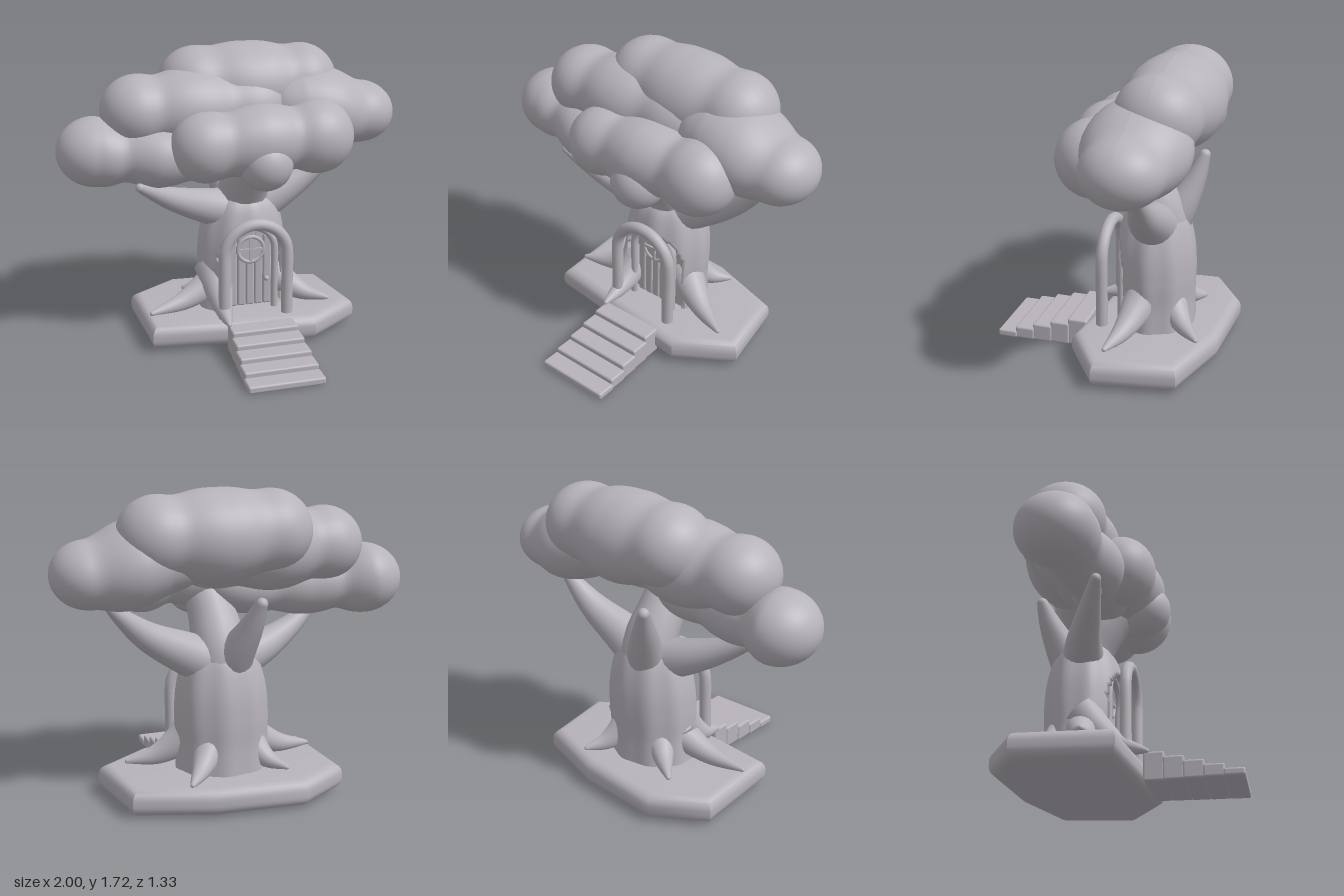
import * as THREE from 'three';
import { toCreasedNormals } from 'three/addons/utils/BufferGeometryUtils.js';
import { RoundedBoxGeometry } from 'three/addons/geometries/RoundedBoxGeometry.js';

const clay = new THREE.MeshStandardMaterial({ color: 0xb7b3ba });
clay.name = 'warm grey clay';
const v3 = (a) => new THREE.Vector3(...a);

export function createModel() {
  const root = new THREE.Group();
  root.name = 'treeHouse';

  const add = (name, geometry, x = 0, y = 0, z = 0) => {
    const mesh = new THREE.Mesh(geometry, clay);
    mesh.name = name;
    mesh.position.set(x, y, z);
    root.add(mesh);
    return mesh;
  };

  // Tube whose radius shrinks from r0 to r1, closed by a round tip
  const limb = (name, points, r0, r1, power = 1) => {
    const curve = new THREE.CatmullRomCurve3(points.map(v3));
    const n = 24, sides = 20;
    const geo = new THREE.TubeGeometry(curve, n, 1, sides);
    const pos = geo.attributes.position, p = new THREE.Vector3();
    for (let i = 0; i <= n; i++) {
      const c = curve.getPointAt(i / n);
      const r = r1 + (r0 - r1) * Math.pow(1 - i / n, power);
      for (let j = 0; j <= sides; j++) {
        const k = i * (sides + 1) + j;
        p.fromBufferAttribute(pos, k).sub(c).multiplyScalar(r).add(c);
        pos.setXYZ(k, p.x, p.y, p.z);
      }
    }
    add(name, geo);
    add(name + 'Tip', new THREE.SphereGeometry(r1, 12, 8), ...points[points.length - 1]);
  };

  // Lumpy leaf cloud: lobes [x, y, z, r, half length] in order of x, skinned with rings around the x axis
  const cloud = (name, lobes, sy = 1, sz = 1) => {
    const x0 = Math.min(...lobes.map(([x, , , r, h = r]) => x - h));
    const x1 = Math.max(...lobes.map(([x, , , r, h = r]) => x + h));
    const geo = new THREE.SphereGeometry(1, 40, 64).rotateZ(-Math.PI / 2);
    const pos = geo.attributes.position;
    for (let i = 0; i < pos.count; i++) {
      const x = (x0 + x1) / 2 + (pos.getX(i) * (x1 - x0)) / 2;
      let sum = 0;
      for (const [cx, , , r, h = r] of lobes) {
        sum += Math.pow(Math.max(0, r * r * (1 - ((x - cx) / h) ** 2)), 5);
      }
      const radius = Math.pow(sum, 1 / 10);
      let k = 0;
      while (k < lobes.length - 2 && x > lobes[k + 1][0]) k++;
      const [a, b] = [lobes[k], lobes[k + 1]];
      const t = THREE.MathUtils.clamp((x - a[0]) / (b[0] - a[0]), 0, 1);
      const len = Math.hypot(pos.getY(i), pos.getZ(i)) || 1;
      pos.setXYZ(i, x,
        a[1] + (b[1] - a[1]) * t + (pos.getY(i) / len) * radius * sy,
        a[2] + (b[2] - a[2]) * t + (pos.getZ(i) / len) * radius * sz);
    }
    geo.computeVertexNormals();
    add(name, geo);
  };

  // Angular island with rounded rim
  const outline = [
    [0.73, -0.05], [0.65, -0.5], [0.22, -0.635], [-0.28, -0.67], [-0.565, -0.49], [-0.53, 0.05], [0.42, 0.16],
  ];
  const island = new THREE.ExtrudeGeometry(
    new THREE.Shape(outline.map(([x, z]) => new THREE.Vector2(x, -z))),
    { depth: 0.03, bevelSize: 0.06, bevelOffset: -0.06, bevelThickness: 0.06, bevelSegments: 6 });
  island.rotateX(-Math.PI / 2);
  add('island', toCreasedNormals(island, 0.7), 0, 0.07, 0);

  // Stairs, widening towards the bottom
  for (let i = 0; i < 5; i++) {
    const h = 0.042 + i * 0.03;
    add('step', new RoundedBoxGeometry(0.44 - i * 0.012, h, 0.115, 3, 0.012), 0.09, h / 2, 0.6 - i * 0.106);
  }

  // Trunk: fluted body with an arched hollow pressed into the front
  const profile = new THREE.SplineCurve([
    [0.265, 0.14], [0.258, 0.3], [0.262, 0.45], [0.253, 0.6], [0.22, 0.74], [0.175, 0.82], [0.09, 0.88], [0, 0.9],
  ].map((p) => new THREE.Vector2(...p))).getPoints(56);
  const trunk = new THREE.LatheGeometry(profile, 80);
  const tp = trunk.attributes.position;
  for (let i = 0; i < tp.count; i++) {
    const y = tp.getY(i);
    const flute = 1 + 0.02 * Math.cos(9 * Math.atan2(tp.getZ(i), tp.getX(i)));
    const x = 0.06 + tp.getX(i) * flute + 0.02 * y;
    let z = -0.235 + tp.getZ(i) * 0.87 * flute;
    if (Math.hypot(x - 0.09, Math.max(0, y - 0.48)) < 0.19) z = Math.min(z, -0.13);
    tp.setXYZ(i, x, y, z);
  }
  trunk.computeVertexNormals();
  add('trunk', trunk);

  // Branches
  limb('rightBranch', [[0.06, 0.73, -0.24], [-0.16, 0.79, -0.2], [-0.36, 0.87, -0.13], [-0.56, 0.98, -0.05]], 0.135, 0.028, 0.9);
  limb('leftBranch', [[0.06, 0.72, -0.25], [0.28, 0.82, -0.25], [0.5, 0.94, -0.27], [0.71, 1.12, -0.29]], 0.15, 0.022, 0.8);
  limb('backBranch', [[0.06, 0.66, -0.25], [0.02, 0.82, -0.345], [-0.04, 0.98, -0.42], [-0.08, 1.11, -0.465]], 0.14, 0.033, 0.9);
  limb('frontBranch', [[0.07, 0.6, -0.27], [0.08, 0.82, -0.24], [0.085, 1.0, -0.13], [0.11, 1.16, 0.0]], 0.18, 0.11);

  // Roots: start inside the trunk (x, z), then tip (x, z)
  const roots = [
    [0.2, -0.22, 0.57, -0.08], [0.13, -0.3, 0.33, -0.53], [-0.01, -0.29, -0.24, -0.46],
    [0.0, -0.24, -0.5, -0.13], [-0.1, -0.22, -0.1, 0.14],
  ];
  for (const [x, z, tx, tz] of roots) {
    const along = (t, y) => [x + (tx - x) * t, y, z + (tz - z) * t];
    limb('root', [along(0, 0.4), along(0.25, 0.3), along(0.6, 0.21), along(1, 0.168)], 0.12, 0.014, 0.9);
  }

  // Arched tubes around the doorway
  const arch = (name, R, tube, z, spring) => {
    const pts = [[0.09 - R, 0.16, z], [0.09 - R, 0.35, z]];
    for (let i = 0; i <= 12; i++) {
      const a = Math.PI * (1 - i / 12);
      pts.push([0.09 + R * Math.cos(a), spring + R * Math.sin(a), z]);
    }
    pts.push([0.09 + R, 0.35, z], [0.09 + R, 0.16, z]);
    add(name, new THREE.TubeGeometry(new THREE.CatmullRomCurve3(pts.map(v3)), 80, tube, 14));
  };
  arch('outerArch', 0.19, 0.034, 0.026, 0.535);
  arch('innerArch', 0.143, 0.021, -0.075, 0.53);

  // Door planks following the arch
  for (let i = -2; i <= 2; i++) {
    const dx = i * 0.052;
    const top = 0.53 + Math.sqrt(0.14 ** 2 - dx ** 2) - 0.01;
    add('doorPlank', new RoundedBoxGeometry(0.05, top - 0.17, 0.04, 3, 0.012), 0.09 + dx, (top + 0.17) / 2, -0.115);
  }

  // Round window and knob
  add('windowRing', new THREE.TorusGeometry(0.078, 0.012, 10, 32), 0.09, 0.53, -0.09);
  add('windowPane', new THREE.CylinderGeometry(0.078, 0.078, 0.008, 32).rotateX(Math.PI / 2), 0.09, 0.53, -0.092);
  add('windowBar', new THREE.BoxGeometry(0.15, 0.014, 0.016), 0.09, 0.53, -0.085);
  add('windowBar', new THREE.BoxGeometry(0.014, 0.15, 0.016), 0.09, 0.53, -0.085);
  add('doorKnob', new THREE.SphereGeometry(0.016, 16, 12), 0.185, 0.34, -0.08);

  // Leaf clouds
  cloud('frontLeaves', [[-0.2, 1.205, 0.015, 0.2], [0.11, 1.225, 0.02, 0.205, 0.36], [0.45, 1.22, 0.0, 0.213]]);
  cloud('farRightLeaves', [[-0.78, 1.16, -0.22, 0.22], [-0.46, 1.135, -0.13, 0.2, 0.32], [-0.14, 1.14, -0.1, 0.18, 0.25]], 0.9);
  cloud('midRightLeaves', [[-0.53, 1.375, -0.23, 0.215], [-0.22, 1.37, -0.24, 0.245, 0.34], [0.1, 1.37, -0.24, 0.215, 0.27]], 0.96, 1.05);
  cloud('leftLeaves', [[0.4, 1.36, -0.25, 0.215, 0.24], [0.57, 1.33, -0.26, 0.255, 0.29], [0.8, 1.285, -0.25, 0.195, 0.2]], 0.93, 1.13);
  cloud('topLeaves', [[-0.17, 1.48, -0.35, 0.222], [0.13, 1.46, -0.34, 0.255, 0.38], [0.45, 1.475, -0.335, 0.218]], 1, 1.07);
  add('lowerLeaves', new THREE.SphereGeometry(0.155, 32, 24), 0.12, 1.11, 0.1);

  return root;
}
